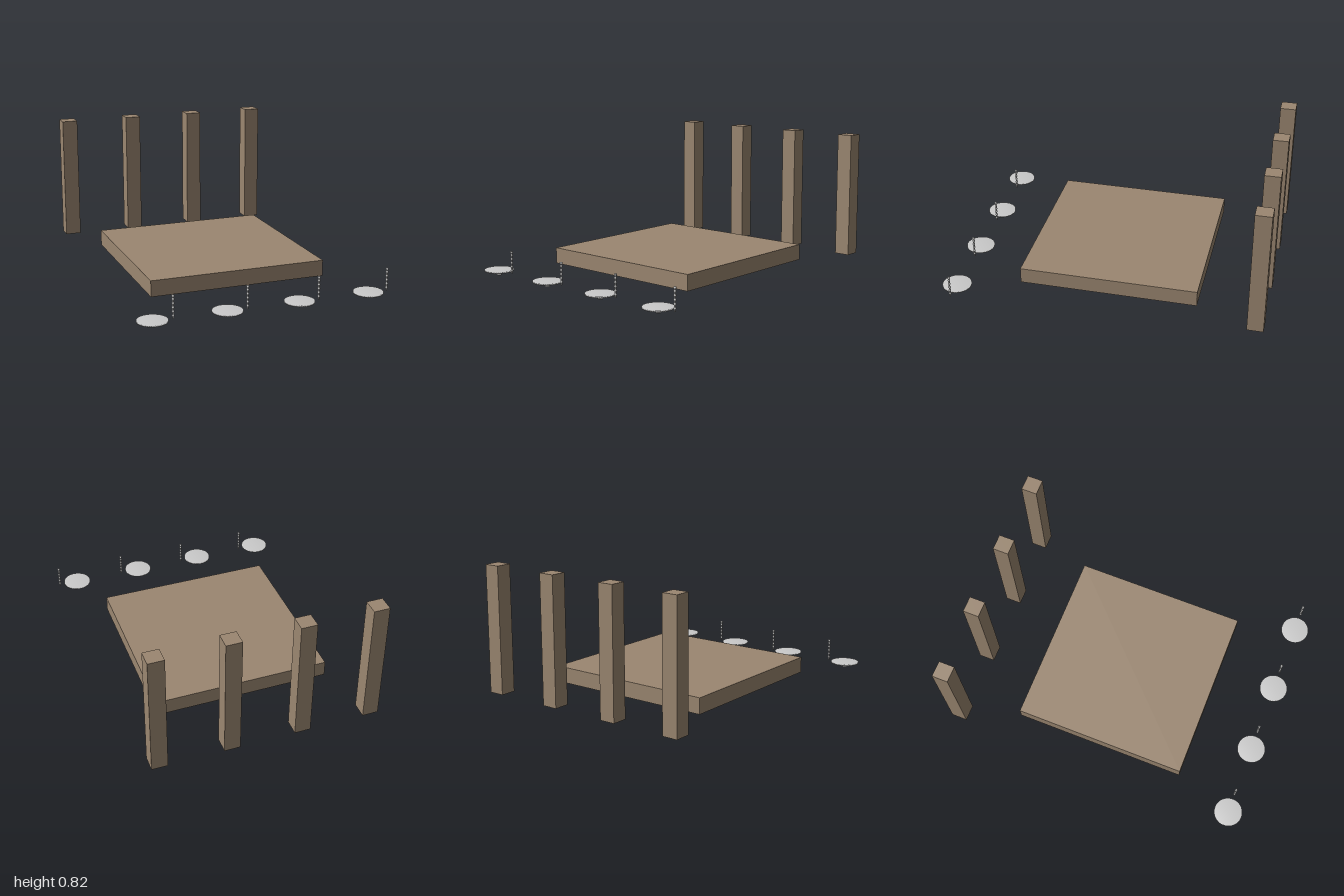
import * as THREE from 'three';

export function createModel() {
  const model = new THREE.Group();
  model.name = 'tableKit';

  const wood = new THREE.MeshStandardMaterial({ color: 0x9b8771 });
  wood.name = 'wood';
  const metal = new THREE.MeshStandardMaterial({ color: 0xcacaca });
  metal.name = 'metal';

  const add = (name, geometry, material, x, y, z, parent = model) => {
    const mesh = new THREE.Mesh(geometry, material);
    mesh.name = name;
    mesh.position.set(x, y, z);
    parent.add(mesh);
    return mesh;
  };
  // Smooth turned part; profile is listed from bottom to top
  const turned = (profile, sides) =>
    new THREE.LatheGeometry(profile.map(([r, y]) => new THREE.Vector2(r, y)), sides);

  const base = 0.028;

  // Square table top
  add('tableTop', new THREE.BoxGeometry(1.11, 0.1, 1.11), wood, -0.023, base + 0.05, -0.022);

  // Shared geometry for the repeated parts
  const legGeometry = new THREE.BoxGeometry(0.1, 0.794, 0.1);
  const discGeometry = turned([[0, base], [0.09, base], [0.09, 0.037], [0, 0.037]], 48);
  const studGeometry = turned([[0, 0], [0.015, 0], [0.015, base], [0, base]], 24);

  // Screw: thin shank with raised thread rings and a wider end
  const screwProfile = [[0, 0], [0.005, 0]];
  for (let i = 0; i < 5; i++) {
    const y = 0.012 + i * 0.024;
    screwProfile.push([0.005, y], [0.008, y + 0.005], [0.008, y + 0.009], [0.005, y + 0.014]);
  }
  screwProfile.push([0.005, 0.128], [0.008, 0.13], [0.008, 0.139], [0, 0.139]);
  const screwGeometry = turned(screwProfile, 16);

  // Four legs in a row behind, four feet and screws in a row in front
  for (let i = 0; i < 4; i++) {
    const x = -0.69 + i * 0.4455;
    add('leg', legGeometry, wood, x, base + 0.397, -0.95);

    const foot = new THREE.Group();
    foot.name = 'foot';
    foot.position.set(x, 0, 0.91);
    add('footDisc', discGeometry, metal, 0, 0, 0, foot);
    add('footStud', studGeometry, metal, 0, 0, 0, foot);
    model.add(foot);

    add('screw', screwGeometry, metal, x + 0.122, base, 0.91);
  }
  return model;
}
